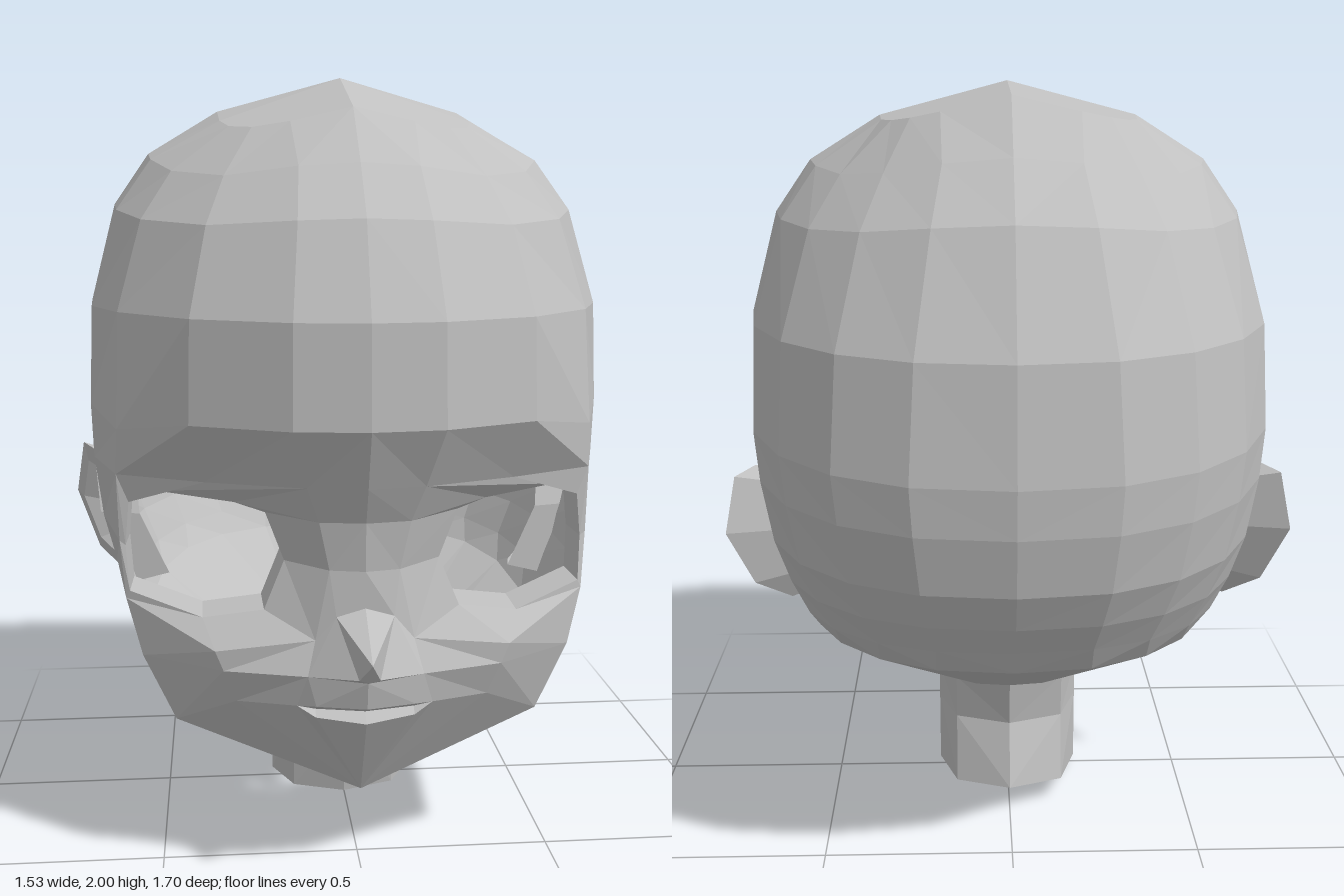
import * as THREE from 'three';

const V = (x, y, z) => new THREE.Vector3(x, y, z);
const list = (...a) => a.map((p) => V(...p));
const rep = (p, n) => Array(n).fill(p);

// Collects faces for the +x half and mirrors each one to -x.
class HalfShell {
  constructor() { this.pos = []; }
  tri(a, b, c) {
    if (a.equals(b) || b.equals(c) || a.equals(c)) return;
    for (const p of [a, b, c]) this.pos.push(p.x, p.y, p.z);
    for (const p of [a, c, b]) this.pos.push(-p.x, p.y, p.z);
  }
  poly(...p) { for (let i = 1; i < p.length - 1; i++) this.tri(p[0], p[i], p[i + 1]); }
  // quads between an upper row and a lower row, columns running towards the model's left
  strip(up, low) {
    for (let i = 0; i < up.length - 1; i++) this.poly(up[i], low[i], low[i + 1], up[i + 1]);
  }
  loop(outer, inner) { this.strip([...outer, outer[0]], [...inner, inner[0]]); }
  mesh(name, material) {
    const g = new THREE.BufferGeometry();
    g.setAttribute('position', new THREE.Float32BufferAttribute(this.pos, 3));
    g.computeVertexNormals();
    const m = new THREE.Mesh(g, material);
    m.name = name;
    return m;
  }
}

// Half ring from a start point (x, y, z) past the widest point w to the back (zb, yb)
function halfRing(x, y, z, w, zb, yb, n = 8) {
  const a0 = Math.asin(x / w), zf = z / Math.cos(a0), row = [];
  for (let i = 0; i < n; i++) {
    const a = a0 + (Math.PI - a0) * i / (n - 1);
    const c = Math.cos(a), s = Math.abs(Math.sin(a)), e = 2 / 2.3;
    const px = i === n - 1 ? 0 : w * (c < 0 ? Math.pow(s, e) : s);
    const pz = c < 0 ? -zb * Math.pow(-c, e) : zf * c;
    row.push(V(px, y + (yb - y) * (z - pz) / (z + zb), pz));
  }
  return row;
}

// Complete skull ring: four columns across the forehead, then the side and back.
// The diagonals dip by sag; ef and eb set how square the front and back are.
function skullRing(zf, yf, w, zb, yb, sag = 0, ef = 2, eb = 2.3) {
  const a0 = 1.02, angles = [0, 0.25 * a0, 0.62 * a0];
  for (let i = 0; i < 8; i++) angles.push(a0 + (Math.PI - a0) * i / 7);
  return angles.map((a, i) => {
    const c = Math.cos(a), s = Math.abs(Math.sin(a)), e = 2 / (c < 0 ? eb : ef);
    const z = c < 0 ? -zb * Math.pow(-c, e) : zf * Math.pow(c, e);
    const y = yf + (yb - yf) * (zf - z) / (zf + zb) - sag * Math.sin(2 * a) ** 2;
    return V(i === 10 ? 0 : w * Math.pow(s, e), y, z);
  });
}

function shrink(loop, f, dx, dz) {
  const c = loop.reduce((s, p) => s.add(p), V(0, 0, 0)).divideScalar(loop.length);
  return loop.map((p) => p.clone().sub(c).multiplyScalar(f).add(c).add(V(dx, 0, dz)));
}

function buildHead(material) {
  const h = new HalfShell();

  // Skull cap, from crown to brow; the crown slopes away from the apex in flat planes
  const rings = [
    skullRing(0.37, 1.90, 0.335, 0.375, 1.97, 0, 3.6, 3.6),
    skullRing(0.55, 1.76, 0.525, 0.53, 1.83, 0.04, 2.15, 2.1),
    skullRing(0.69, 1.63, 0.62, 0.67, 1.69, 0.025, 2, 2.05),
    skullRing(0.80, 1.40, 0.69, 0.81, 1.40, 0, 2, 2.2),
    skullRing(0.81, 1.155, 0.70, 0.845, 1.12),
  ];
  for (const p of rings[0]) p.y = 2 - 0.24 * p.x - (p.z > 0 ? 0.27 : -0.08) * p.z;
  const brow = rings[4];
  brow[3].set(0.595, 1.115, 0.465);
  h.strip(rep(V(0, 2, 0), rings[0].length), rings[0]);
  for (let i = 0; i < 4; i++) h.strip(rings[i], rings[i + 1]);

  // Sides and back of the head, from temple to jaw
  const sides = [
    halfRing(0.60, 1.00, 0.45, 0.69, 0.84, 1.0),
    halfRing(0.595, 0.83, 0.45, 0.665, 0.81, 0.85),
    halfRing(0.58, 0.69, 0.48, 0.63, 0.76, 0.75),
    halfRing(0.54, 0.55, 0.51, 0.585, 0.71, 0.67),
    halfRing(0.46, 0.38, 0.51, 0.545, 0.67, 0.60),
  ];
  for (const p of sides[4]) p.y += 0.045 * (1 - ((p.z + 0.08) / 0.59) ** 2);
  h.strip(brow.slice(3), sides[0]);
  for (let i = 0; i < 4; i++) h.strip(sides[i], sides[i + 1]);
  const [e1, e2, e3, e4, jaw] = sides.map((r) => r[0]);

  // Underside, open where the neck joins
  const chin = V(0, 0.21, 0.59);
  const under = halfRing(0, 0.275, 0.25, 0.19, 0.27, 0.38);
  h.strip(sides[4], under);
  h.poly(chin, under[0], jaw);

  // Open eye socket: surround, rim and an inner wall running back
  const [o0, o1, o2, o3, cheek, noseSide] = list([0.085, 0.80, 0.67], [0.11, 0.92, 0.68],
    [0.14, 1.01, 0.715], [0.38, 1.00, 0.57], [0.36, 0.60, 0.65], [0.12, 0.63, 0.68]);
  const rim = list([0.19, 0.81, 0.60], [0.235, 0.93, 0.60], [0.31, 0.95, 0.57], [0.50, 0.965, 0.49],
    [0.57, 0.93, 0.455], [0.58, 0.82, 0.455], [0.57, 0.71, 0.485], [0.39, 0.665, 0.58], [0.24, 0.69, 0.61]);
  h.loop([o0, o1, o2, o3, e1, e2, e3, cheek, noseSide], rim);
  h.loop(rim, shrink(rim, 0.98, 0, -0.13));

  // Brow overhang and nose bridge
  const [c0, c1, c2, c3] = list([0, 1.01, 0.745], [0, 0.92, 0.70], [0, 0.80, 0.69], [0, 0.71, 0.69]);
  h.strip(brow.slice(0, 4), [c0, o2, o3, e1]);
  h.strip([c0, o2], [c1, o1]);
  h.strip([c1, o1], [c2, o0]);

  // Nose
  const [wing, tip, nostril, noseUnder, lipTop, lipSide, cheekLow] = list([0.07, 0.69, 0.69],
    [0, 0.62, 0.85], [0.025, 0.565, 0.79], [0, 0.56, 0.795], [0, 0.545, 0.755], [0.14, 0.55, 0.71], [0.34, 0.55, 0.65]);
  h.poly(c2, c3, wing, o0);
  h.poly(o0, wing, noseSide);
  h.poly(c3, tip, wing);
  h.poly(wing, tip, nostril);
  h.poly(tip, noseUnder, nostril);
  h.poly(noseUnder, lipTop, nostril);
  h.poly(wing, nostril, lipSide, noseSide);
  h.poly(nostril, lipTop, lipSide);

  // Cheeks
  h.strip([noseSide, cheek, e3], [lipSide, cheekLow, e4]);

  // Mouth: upper lip, parting, lower lip
  const [m0, m1, n0, n1, p0, p1, corner, muzzle] = list([0, 0.475, 0.74], [0.12, 0.475, 0.71],
    [0, 0.452, 0.69], [0.12, 0.457, 0.675], [0, 0.43, 0.72], [0.12, 0.442, 0.695], [0.165, 0.47, 0.685], [0.31, 0.465, 0.625]);
  h.poly(lipTop, m0, m1, lipSide);
  h.poly(lipSide, m1, corner);
  h.poly(lipSide, corner, muzzle, cheekLow);
  h.poly(cheekLow, muzzle, jaw, e4);
  h.strip([m0, m1, corner], [n0, n1, corner]);
  h.strip([n0, n1, corner], [p0, p1, corner]);

  // Chin
  h.strip([p0, p1, corner, muzzle, jaw], rep(chin, 5));
  return h.mesh('head', material);
}

function buildEars(material) {
  const h = new HalfShell();
  const rim = list([0.70, 0.97, -0.09], [0.74, 0.97, -0.205], [0.765, 0.82, -0.24], [0.70, 0.66, -0.19],
    [0.61, 0.59, -0.115], [0.585, 0.60, 0], [0.68, 0.80, -0.02]);
  const inner = shrink(rim, 0.74, 0, 0);
  const recess = shrink(rim, 0.6, -0.035, 0);
  h.loop(shrink(rim, 0.85, -0.11, 0.03), rim);
  h.loop(rim, inner);
  h.loop(inner, recess);
  h.loop(recess, rep(V(0.635, 0.79, -0.11), 7));
  return h.mesh('ears', material);
}

// Hollow neck, open at the bottom
function buildNeck(material) {
  const h = new HalfShell();
  const rows = [
    halfRing(0, 0.285, 0.25, 0.2, 0.27, 0.39, 5),
    halfRing(0, 0.215, 0.165, 0.2, 0.24, 0.25, 5),
    halfRing(0, 0, 0.13, 0.2, 0.30, 0.08, 5),
  ];
  for (let i = 0; i < 2; i++) h.strip(rows[i], rows[i + 1]);
  return h.mesh('neck', material);
}

export function createModel() {
  const clay = new THREE.MeshStandardMaterial({ color: 0xc0c0c0, side: THREE.DoubleSide });
  clay.name = 'grey clay';
  clay.flatShading = true;
  const model = new THREE.Group();
  model.name = 'headBust';
  model.add(buildHead(clay), buildEars(clay), buildNeck(clay));
  return model;
}
